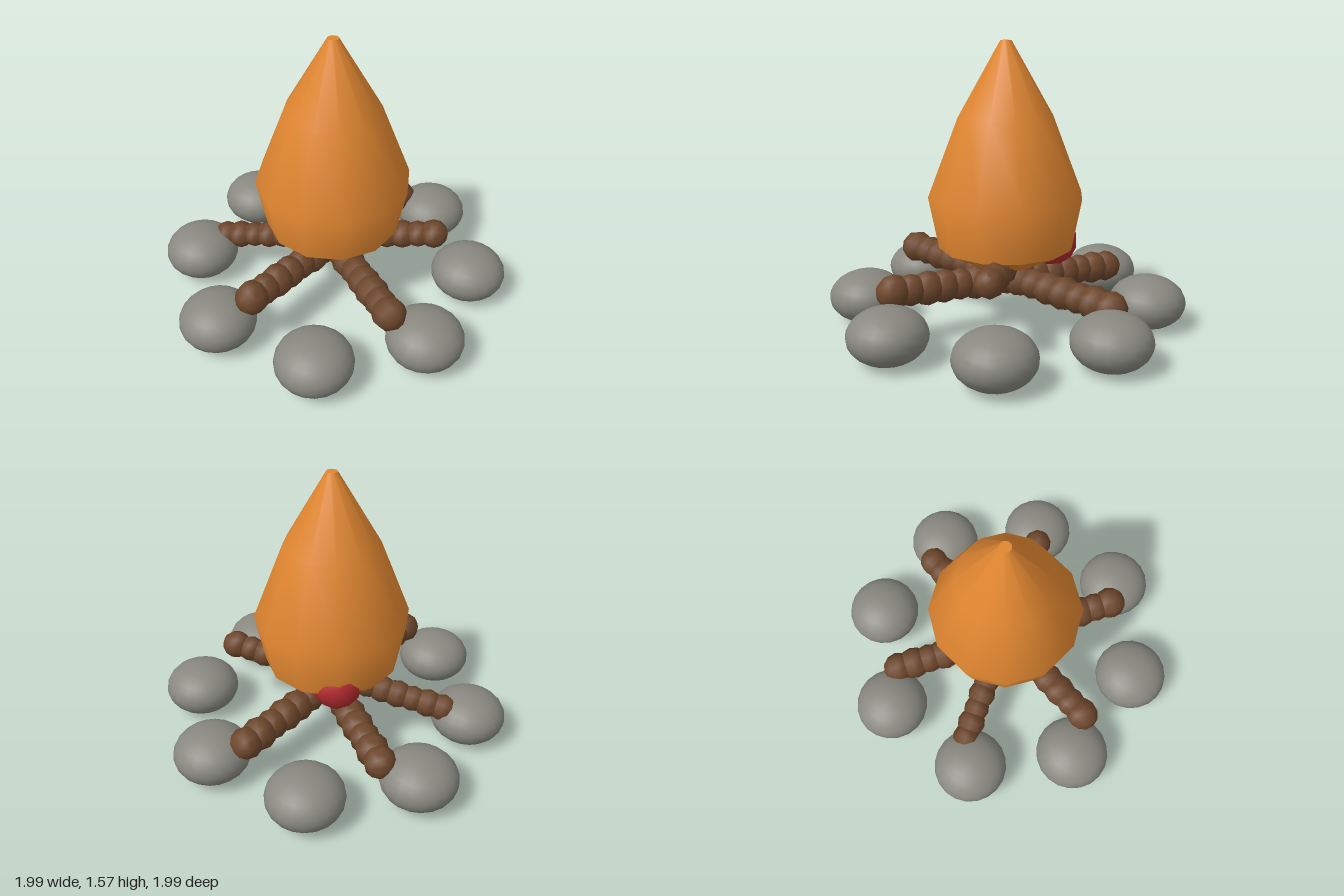
import * as THREE from 'three';

const mat = (name, color) => {
  const m = new THREE.MeshStandardMaterial({ color });
  m.name = name;
  return m;
};

export function createModel() {
  const model = new THREE.Group();
  const flameOrange = mat('flameOrange', 0xe08630);
  const emberRed = mat('emberRed', 0xb02a2e);
  const stoneGrey = mat('stoneGrey', 0x888880);
  const barkBrown = mat('barkBrown', 0x6e472c);

  const add = (parent, name, geometry, material, x = 0, y = 0, z = 0) => {
    const mesh = new THREE.Mesh(geometry, material);
    mesh.name = name;
    mesh.position.set(x, y, z);
    parent.add(mesh);
    return mesh;
  };
  const lathe = (points) =>
    new THREE.LatheGeometry(points.map(([r, y]) => new THREE.Vector2(r, y)), 12);

  // Flame: faceted teardrop, with a hard edge above its tapered underside and at the tip
  const flame = new THREE.Group();
  flame.name = 'flame';
  model.add(flame);
  add(flame, 'flameUnderside', lathe([[0, 0.285], [0.37, 0.47]]), flameOrange);
  add(flame, 'flameBody', lathe([[0.37, 0.47], [0.425, 0.755], [0.26, 1.18], [0.03, 1.58]]), flameOrange);
  add(flame, 'flameTip', lathe([[0.03, 1.58], [0, 1.58]]), flameOrange);

  // Ember poking out of the flame's lower back
  const ember = add(model, 'ember', new THREE.IcosahedronGeometry(0.137, 1), emberRed, -0.235, 0.473, -0.13);
  ember.rotation.y = 0.3;

  // Ring of eight flattened stones
  const stoneGeometry = new THREE.SphereGeometry(0.21, 20, 14).scale(1, 0.69, 1);
  for (let i = 0; i < 8; i++) {
    const a = (i * Math.PI) / 4;
    add(model, 'stone', stoneGeometry, stoneGrey, 0.785 * Math.sin(a), 0.155, 0.785 * Math.cos(a));
  }

  // Three knobbly logs crossing under the flame, each a row of overlapping lumps
  const logs = [
    { from: [-0.14, 0.25, -0.65], to: [0.14, 0.335, 0.645], r: 0.09, count: 15 },
    { from: [-0.5, 0.23, 0.41], to: [0.435, 0.445, -0.37], r: 0.077, count: 15 },
    { from: [-0.65, 0.24, -0.155], to: [0.65, 0.31, 0.14], r: 0.09, count: 15 },
  ];
  for (const { from, to, r, count } of logs) {
    const log = new THREE.Group();
    log.name = 'log';
    model.add(log);
    const a = new THREE.Vector3(...from);
    const b = new THREE.Vector3(...to);
    const turn = new THREE.Quaternion().setFromUnitVectors(
      new THREE.Vector3(0, 1, 0), b.clone().sub(a).normalize());
    const lump = new THREE.SphereGeometry(r, 8, 6);
    for (let i = 0; i < count; i++) {
      const p = a.clone().lerp(b, i / (count - 1));
      const mesh = add(log, 'logLump', lump, barkBrown, p.x, p.y, p.z);
      mesh.quaternion.copy(turn);
      mesh.scale.setScalar(1 + 0.05 * Math.sin(i * 2.3));
    }
  }
  return model;
}
